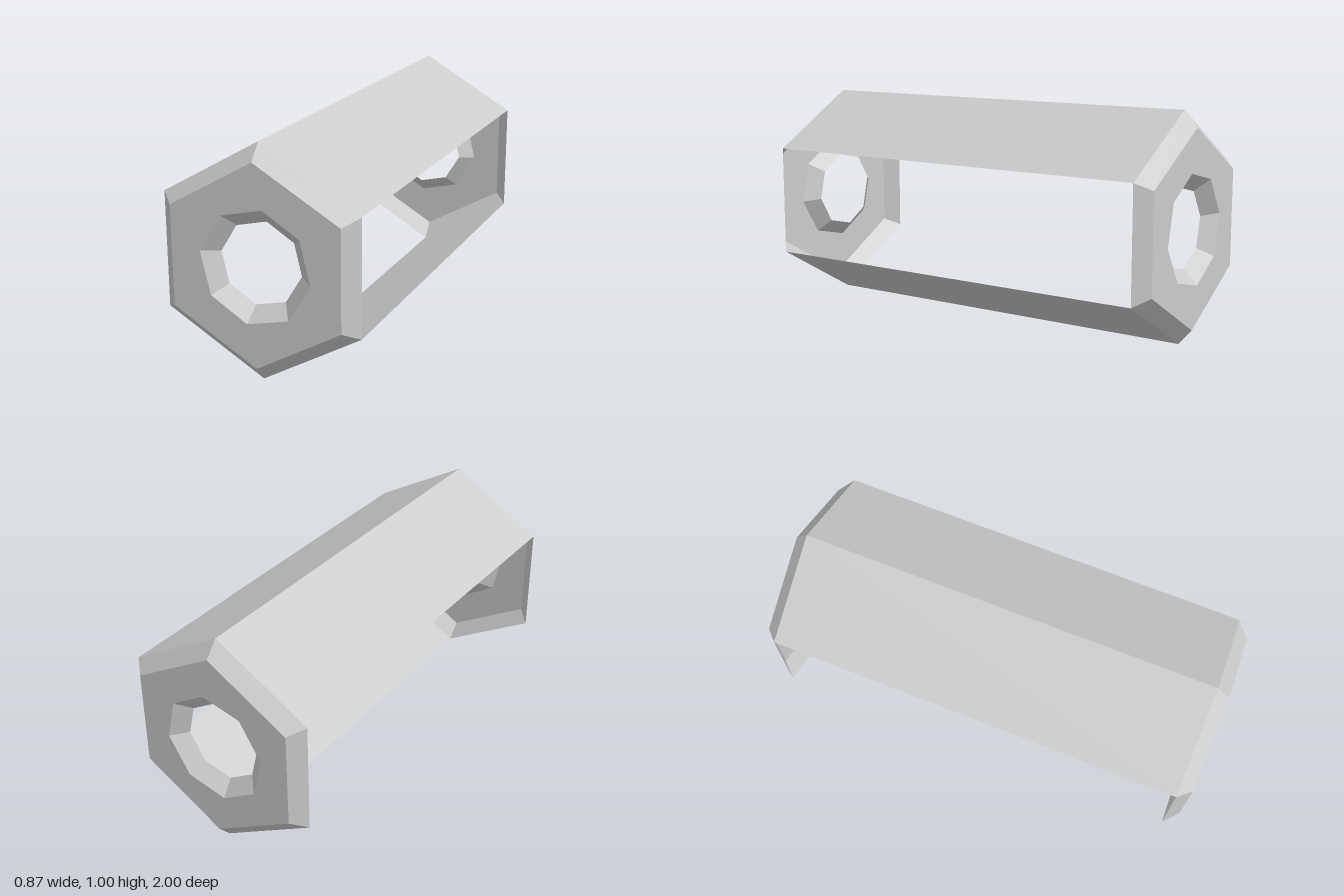
import * as THREE from 'three';

const RADIUS = 0.5, BEVEL = 0.06, HALF = 1, WALL_Z = HALF - BEVEL;

// Regular polygon ring, counter-clockwise about the z axis
function ring(sides, radius, startDeg, z) {
  return Array.from({ length: sides }, (_, i) => {
    const a = THREE.MathUtils.degToRad(startDeg) + (i / sides) * Math.PI * 2;
    return new THREE.Vector3(Math.cos(a) * radius, Math.sin(a) * radius, z);
  });
}

// Flat quads joining two rings, optionally only on the listed sides
function band(a, b, sides = a.map((_, i) => i)) {
  const points = [];
  for (const i of sides) {
    const j = (i + 1) % a.length;
    points.push(a[i], a[j], b[j], a[i], b[j], b[i]);
  }
  const geometry = new THREE.BufferGeometry().setFromPoints(points);
  geometry.computeVertexNormals();
  return geometry;
}

export function createModel() {
  const grey = new THREE.MeshStandardMaterial({ color: 0xcccccc, side: THREE.DoubleSide });
  grey.name = 'light grey';

  const model = new THREE.Group();
  model.name = 'hexagonalCorridor';
  const add = (parent, name, geometry) => {
    const mesh = new THREE.Mesh(geometry, grey);
    mesh.name = name;
    parent.add(mesh);
  };

  // Bevelled end with an octagonal funnel opening
  const addEnd = (name, holeStart, turn) => {
    const end = new THREE.Group();
    end.name = name;
    const faceRing = ring(6, RADIUS - BEVEL / Math.cos(Math.PI / 6), 30, HALF);
    const holeRing = ring(8, 0.246, holeStart, HALF);
    const throatRing = ring(8, 0.181, holeStart, WALL_Z);

    const face = new THREE.Shape(faceRing.map(p => new THREE.Vector2(p.x, p.y)));
    face.holes.push(new THREE.Path(holeRing.map(p => new THREE.Vector2(p.x, p.y))));
    add(end, 'endFace', new THREE.ShapeGeometry(face).translate(0, 0, HALF));
    add(end, 'endBevel', band(ring(6, RADIUS, 30, WALL_Z), faceRing));
    add(end, 'openingFunnel', band(holeRing, throatRing));

    end.position.y = RADIUS;
    end.rotation.y = turn;
    model.add(end);
  };
  addEnd('frontEnd', 36, 0);
  addEnd('backEnd', 9, Math.PI); // start angle keeps both openings aligned

  // Long walls: two roof slopes and one floor slope, the other sides are open
  const back = ring(6, RADIUS, 30, -WALL_Z), front = ring(6, RADIUS, 30, WALL_Z);
  const walls = { leftRoof: 0, rightRoof: 1, leftFloor: 4 };
  for (const [name, side] of Object.entries(walls)) {
    add(model, name, band(back, front, [side]).translate(0, RADIUS, 0));
  }
  return model;
}
